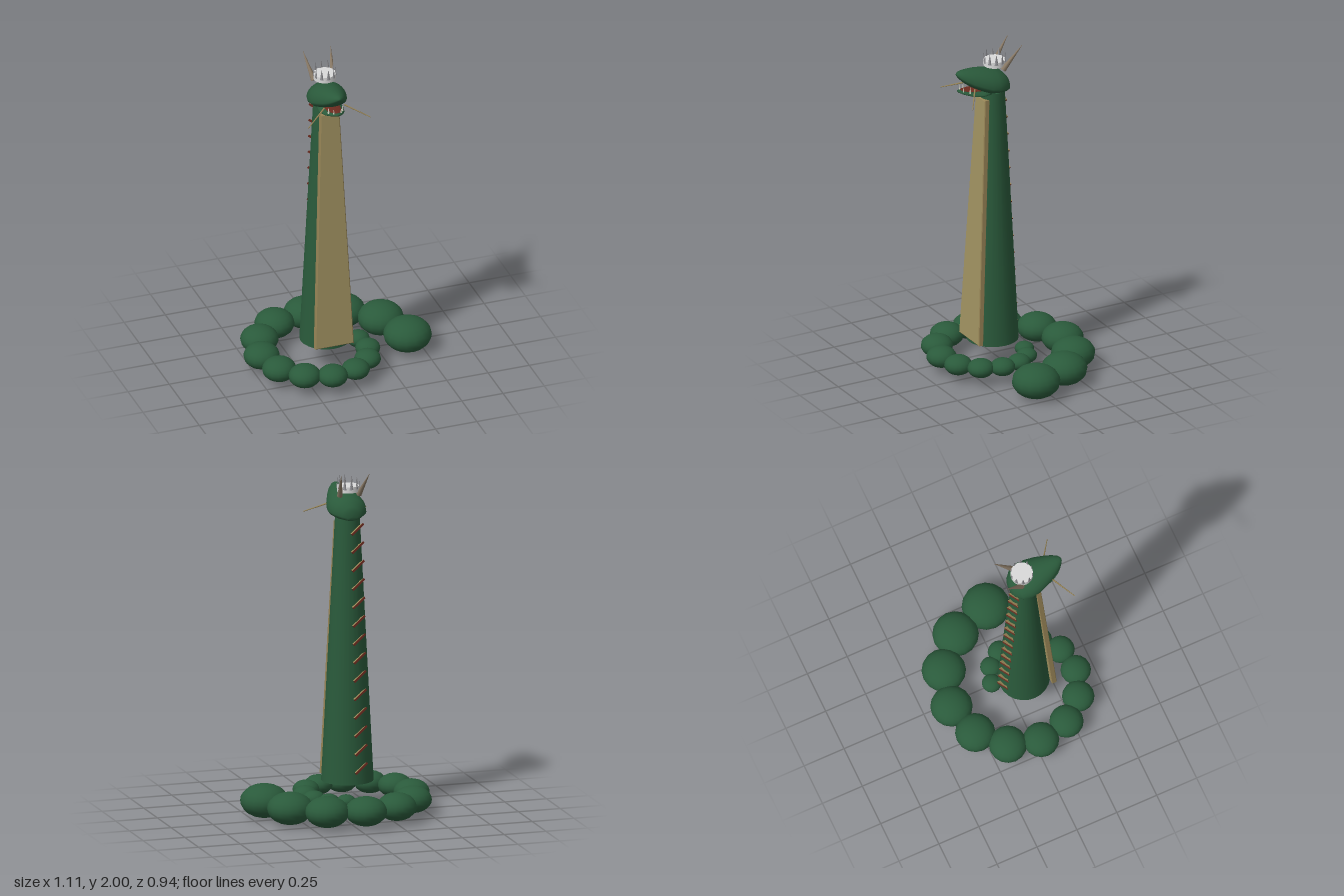
import * as THREE from 'three';

const CX = -0.085; // mirror axis of neck and head
const mat = (name, color) => {
  const m = new THREE.MeshStandardMaterial({ color });
  m.name = name;
  return m;
};

// Skin from rings [z, halfWidth, yBottom, yTop] with a domed cross-section
function loft(rings, n = 24) {
  const pos = [], idx = [];
  for (const [z, hw, yb, yt] of rings) {
    const h = yt - yb, mid = yb + 0.32 * h;
    for (let j = 0; j < n; j++) {
      const a = (j / n) * Math.PI * 2, s = Math.sin(a);
      pos.push(CX + hw * Math.cos(a), mid + s * h * (s > 0 ? 0.68 : 0.32), z);
    }
  }
  for (let i = 0; i < rings.length - 1; i++) for (let j = 0; j < n; j++) {
    const k = (j + 1) % n, a = i * n + j, b = i * n + k;
    idx.push(a, b, a + n, b, b + n, a + n);
  }
  const g = new THREE.BufferGeometry();
  g.setAttribute('position', new THREE.Float32BufferAttribute(pos, 3));
  g.setIndex(idx);
  g.computeVertexNormals();
  return g;
}

// Tapered rod from base point to tip point
function rodBetween(base, tip, r, rTip, sides) {
  const a = new THREE.Vector3(...base), d = new THREE.Vector3(...tip).sub(a), len = d.length();
  const g = new THREE.CylinderGeometry(rTip, r, len, sides);
  g.translate(0, len / 2, 0);
  g.applyQuaternion(new THREE.Quaternion().setFromUnitVectors(new THREE.Vector3(0, 1, 0), d.normalize()));
  return g.translate(a.x, a.y, a.z);
}

function polygon(points) {
  return new THREE.Shape(points.map(([x, y]) => new THREE.Vector2(x, y)));
}

export function createModel() {
  const group = new THREE.Group();
  const green = mat('scale green', 0x2a5a3b);
  const tan = mat('belly tan', 0xa09261);
  const ochre = mat('edge ochre', 0x988556);
  const red = mat('dark red', 0x6e2c20);
  const horn = mat('horn brown', 0x8a7a66);
  const silver = mat('silver', 0xdadada);
  const steel = mat('crown grey', 0x98989c);
  const ivory = mat('ivory', 0xd8d4c4);
  const add = (name, geo, m) => {
    const mesh = new THREE.Mesh(geo, m);
    mesh.name = name;
    group.add(mesh);
    return mesh;
  };

  // Coiled tail of flattened balls: x, z, radius
  const coil = [
    [0.415, 0.08, 0.139], [0.335, -0.147, 0.133], [0.163, -0.3, 0.127], [-0.053, -0.351, 0.121],
    [-0.255, -0.295, 0.115], [-0.397, -0.155, 0.11], [-0.45, 0.028, 0.104], [-0.409, 0.206, 0.098],
    [-0.299, 0.33, 0.093], [-0.148, 0.384, 0.087], [0, 0.357, 0.081], [0.104, 0.268, 0.077],
    [0.148, 0.15, 0.072], [0.133, 0.034, 0.066], [0.071, -0.049, 0.06], [-0.021, -0.085, 0.056],
  ];
  for (const [x, z, r] of coil) {
    const ball = add('coilSegment', new THREE.SphereGeometry(r, 16, 12), green);
    ball.position.set(x, 0.101, z);
    ball.scale.y = 0.7;
  }

  // Upright neck
  add('neck', new THREE.CylinderGeometry(0.071, 0.15, 1.54, 24), green).position.set(CX, 0.955, 0.088);

  // Tapered belly plate, leaning with the neck
  const plate = new THREE.ExtrudeGeometry(
    polygon([[-0.117, 0], [0.117, 0], [0.057, 1.49], [-0.057, 1.49]]),
    { depth: 0.024, bevelEnabled: true, bevelSize: 0.005, bevelThickness: 0.004, bevelOffset: -0.005, bevelSegments: 1 });
  const belly = add('bellyPlate', plate, [tan, ochre]);
  belly.position.set(CX, 0.2, 0.214);
  belly.rotation.x = -Math.atan(0.075 / 1.49);

  // Slanted fins down the back
  const fin = new THREE.ExtrudeGeometry(polygon([[0, -0.027], [0.095, 0.002], [0, 0.025]]),
    { depth: 0.013, bevelEnabled: false });
  fin.applyMatrix4(new THREE.Matrix4().makeBasis(
    new THREE.Vector3(-0.82, 0.57, 0), new THREE.Vector3(0, 0, 1), new THREE.Vector3(0.57, 0.82, 0)));
  for (let i = 0; i < 14; i++) {
    const y = 0.248 + i * 0.1065;
    add('backFin', fin, [ochre, red]).position.set(-0.087, y, -0.053 + 0.0515 * (y - 0.2));
  }

  // Head with raised upper jaw
  add('head', loft([
    [-0.006, 0, 1.74, 1.74], [-0.005, 0.03, 1.72, 1.775], [0.005, 0.06, 1.718, 1.8], [0.04, 0.098, 1.718, 1.838],
    [0.09, 0.111, 1.718, 1.858], [0.14, 0.107, 1.726, 1.87], [0.19, 0.093, 1.75, 1.878],
    [0.24, 0.073, 1.778, 1.882], [0.28, 0.052, 1.808, 1.883], [0.307, 0.031, 1.836, 1.88],
    [0.32, 0.012, 1.855, 1.872], [0.322, 0, 1.863, 1.863],
  ]), green);
  add('lowerJaw', loft([
    [0.12, 0, 1.735, 1.735], [0.13, 0.07, 1.72, 1.75], [0.18, 0.074, 1.716, 1.75], [0.24, 0.06, 1.724, 1.756],
    [0.285, 0.036, 1.74, 1.763], [0.31, 0.014, 1.752, 1.766], [0.315, 0, 1.76, 1.76],
  ]), green);
  // Mouth lining resting on the lower jaw
  add('mouthLining', loft([
    [0.16, 0, 1.752, 1.752], [0.17, 0.05, 1.748, 1.757], [0.24, 0.042, 1.752, 1.761],
    [0.285, 0.022, 1.759, 1.767], [0.297, 0, 1.763, 1.763],
  ]), red);

  // Paired features
  for (const s of [-1, 1]) {
    add('horn', rodBetween([CX + s * 0.057, 1.86, 0.05], [CX + s * 0.084, 2.0, -0.058], 0.017, 0.001, 8), horn);
    add('whisker', rodBetween([CX + s * 0.06, 1.777, 0.235], [CX + s * 0.188, 1.716, 0.32], 0.005, 0.0025, 6), ochre);
    for (const [dx, z] of [[0.022, 0.288], [0.042, 0.255]]) {
      add('tooth', rodBetween([CX + s * dx, 1.75, z], [CX + s * dx, 1.788, z], 0.006, 0.0005, 6), ivory);
    }
  }

  // Crown: solid band with thin points standing on its rim
  add('crownBand', new THREE.CylinderGeometry(0.064, 0.064, 0.035, 20), silver).position.set(CX, 1.8945, 0.075);
  for (let i = 0; i < 10; i++) {
    const a = (i / 10) * Math.PI * 2;
    const point = add('crownPoint', new THREE.ConeGeometry(0.012, 0.066, 4), steel);
    point.position.set(CX + 0.062 * Math.sin(a), 1.929, 0.075 + 0.062 * Math.cos(a));
    point.rotation.y = a;
    point.scale.z = 0.35;
  }
  return group;
}
